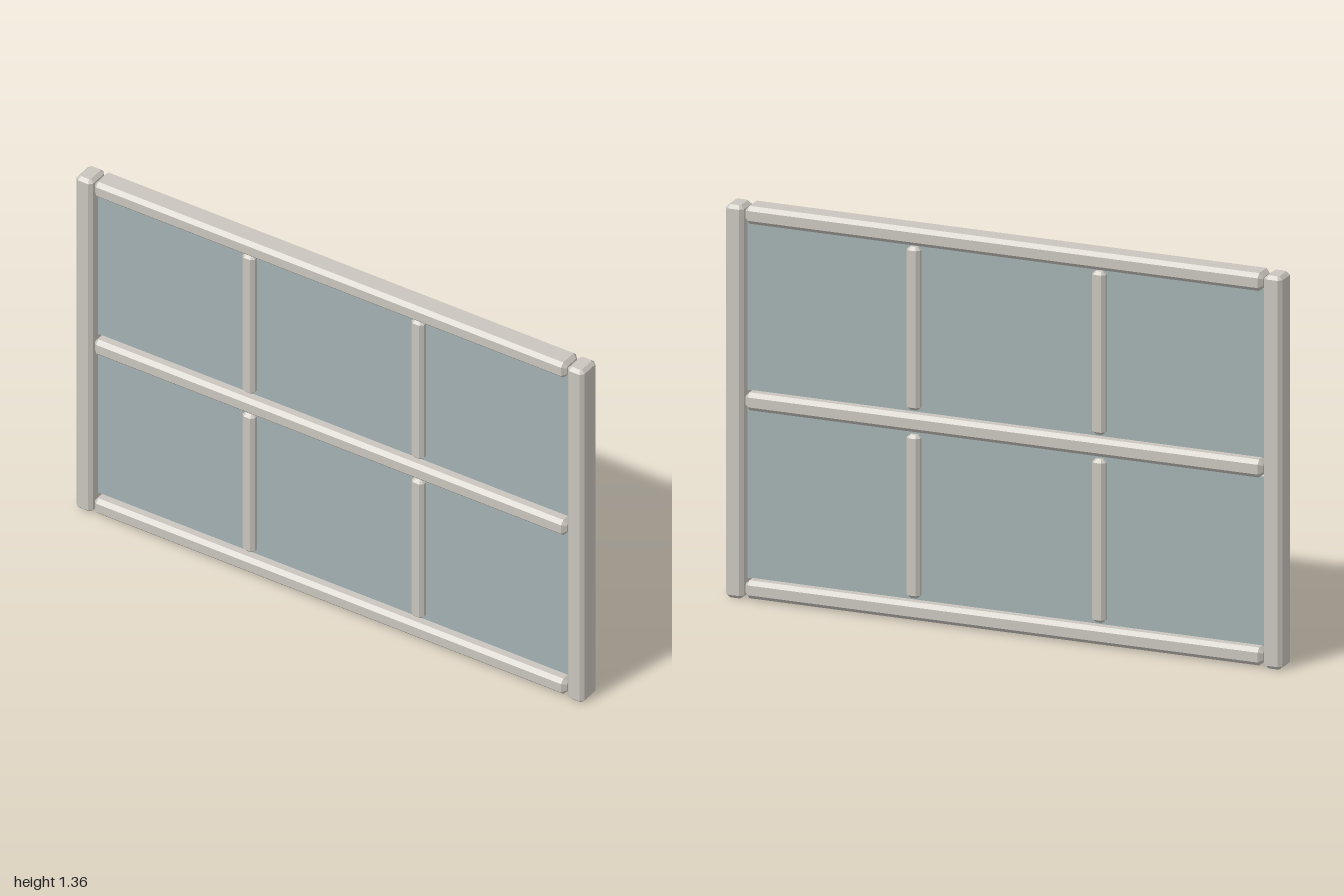
import * as THREE from 'three';

// Bar with an octagonal section and bevelled ends, extruded along z and centred
function chamferedBar(w, h, length, c) {
  const a = w / 2, b = h / 2;
  const section = new THREE.Shape([
    [a, -b + c], [a, b - c], [a - c, b], [-a + c, b],
    [-a, b - c], [-a, -b + c], [-a + c, -b], [a - c, -b],
  ].map(([x, y]) => new THREE.Vector2(x, y)));
  const geometry = new THREE.ExtrudeGeometry(section, {
    depth: length - 2 * c, bevelEnabled: true, bevelSegments: 1,
    bevelThickness: c, bevelSize: c, bevelOffset: -c,
  });
  return geometry.translate(0, 0, -length / 2 + c);
}

export function createModel() {
  const group = new THREE.Group();
  const frame = new THREE.MeshStandardMaterial({ color: 0xcac6be });
  frame.name = 'frame paint';
  const glass = new THREE.MeshStandardMaterial({ color: 0xa3b1b2 });
  glass.name = 'glass';

  const add = (name, geometry, material, x, y) => {
    const mesh = new THREE.Mesh(geometry, material);
    mesh.name = name;
    mesh.position.set(x, y, 0);
    group.add(mesh);
  };

  // Upright posts at both sides
  const post = chamferedBar(0.065, 0.09, 1.362, 0.012).rotateX(-Math.PI / 2);
  add('leftPost', post, frame, 0.9675, 0.684);
  add('rightPost', post, frame, -0.9675, 0.684);

  // Horizontal rails
  const rail = chamferedBar(0.09, 0.062, 1.86, 0.014).rotateY(Math.PI / 2);
  add('bottomRail', rail, frame, 0, 0.039);
  add('middleRail', rail, frame, 0, 0.69);
  add('topRail', rail, frame, 0, 1.336);

  // Two rows of glass, each with a pair of slim glazing bars
  const bar = chamferedBar(0.048, 0.055, 0.566, 0.011).rotateX(-Math.PI / 2);
  const pane = new THREE.BoxGeometry(1.874, 0.585, 0.009);
  for (const [row, y] of [['lower', 0.361], ['upper', 1.012]]) {
    add(row + 'Pane', pane, glass, 0, y);
    add(row + 'LeftGlazingBar', bar, frame, 0.333, y);
    add(row + 'RightGlazingBar', bar, frame, -0.333, y);
  }
  return group;
}
